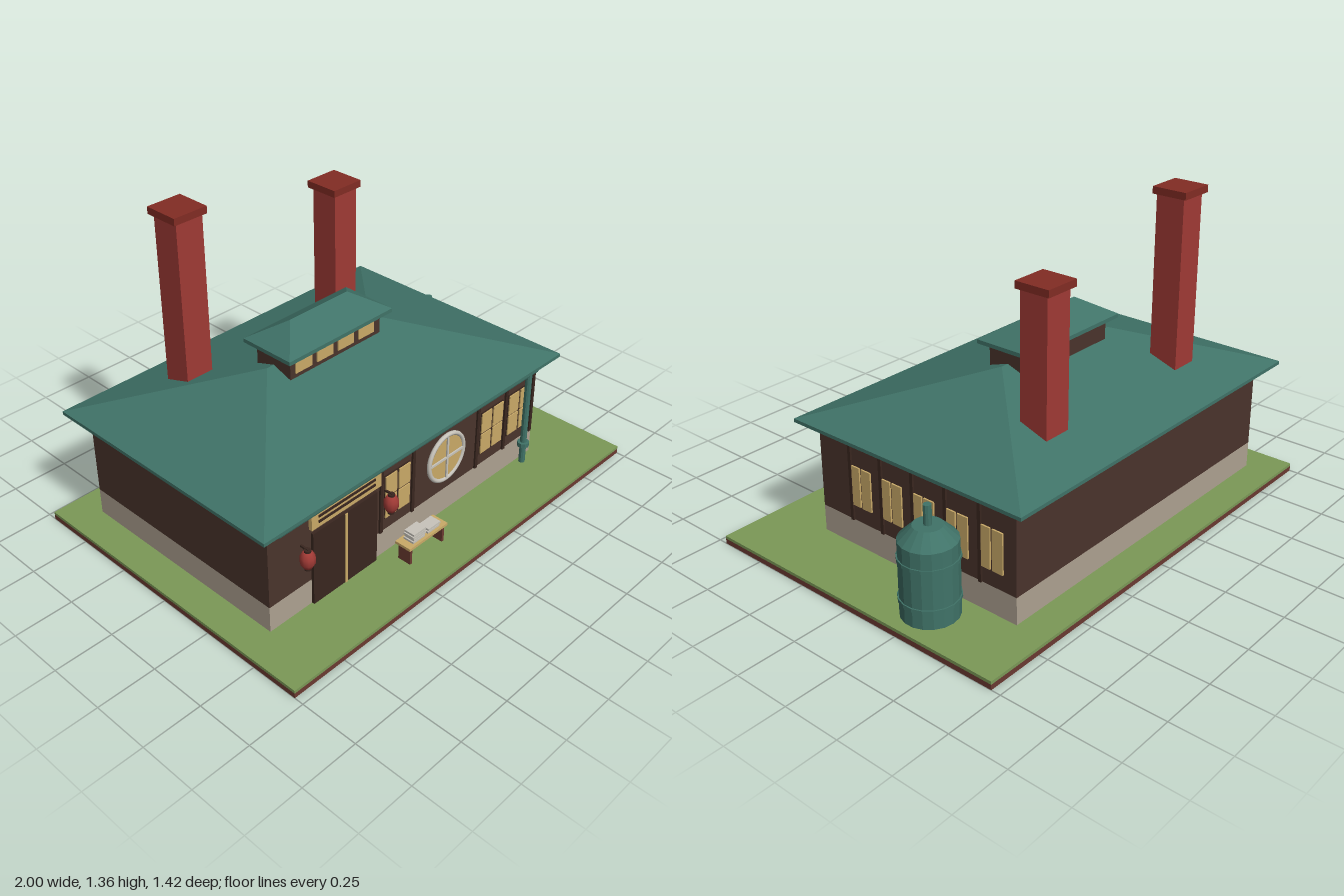
import * as THREE from 'three';

const mat = (name, color, extra = {}) => {
  const m = new THREE.MeshStandardMaterial({ color });
  m.name = name;
  return Object.assign(m, extra);
};

export function createModel() {
  const M = {
    wood: mat('wall wood', 0x4a342c),
    dark: mat('dark timber', 0x39261f),
    stone: mat('foundation stone', 0xaea291),
    green: mat('patina green', 0x407368, { flatShading: true }),
    brick: mat('red brick', 0xa03a35),
    cap: mat('cap brick', 0x822c24),
    grass: mat('grass', 0x7b9957),
    earth: mat('earth brown', 0x6b3a31),
    amber: mat('amber', 0xcaaa68),
    pale: mat('pale grey', 0xc8c4bb),
  };
  const model = new THREE.Group();
  model.name = 'boilerHouse';

  const add = (name, geo, m, parent = model) => {
    const mesh = new THREE.Mesh(geo, m);
    mesh.name = name;
    parent.add(mesh);
    return mesh;
  };
  const group = (name) => {
    const g = new THREE.Group();
    g.name = name;
    model.add(g);
    return g;
  };
  // Box given by its minimum and maximum on each axis
  const box = (name, m, x0, x1, y0, y1, z0, z1, parent) => {
    const b = add(name, new THREE.BoxGeometry(x1 - x0, y1 - y0, z1 - z0), m, parent);
    b.position.set((x0 + x1) / 2, (y0 + y1) / 2, (z0 + z1) / 2);
    return b;
  };
  const cyl = (name, m, r0, r1, y0, y1, x, z, sides, parent) => {
    const c = add(name, new THREE.CylinderGeometry(r1, r0, y1 - y0, sides), m, parent);
    c.position.set(x, (y0 + y1) / 2, z);
    return c;
  };
  // Hip roof: a thin eave slab whose upper box narrows to a ridge line
  const hipRoof = (name, x0, x1, z0, z1, y0, y1, y2, r0, r1) => {
    const g = group(name);
    box('eaveSlab', M.green, x0, x1, y0, y1, z0, z1, g);
    const zm = (z0 + z1) / 2;
    const geo = new THREE.BufferGeometry();
    const P = [[x0, y1, z0], [x1, y1, z0], [x1, y1, z1], [x0, y1, z1], [r0, y2, zm], [r1, y2, zm]];
    const F = [3, 2, 5, 3, 5, 4, 1, 0, 4, 1, 4, 5, 2, 1, 5, 0, 3, 4];
    geo.setAttribute('position', new THREE.Float32BufferAttribute(F.flatMap((i) => P[i]), 3));
    geo.computeVertexNormals();
    add('hipSlopes', geo, M.green, g);
  };

  // Ground
  box('groundSlab', M.earth, -1, 1, 0, 0.022, -0.71, 0.71);
  box('lawn', M.grass, -1, 1, 0.022, 0.035, -0.71, 0.71);

  // House body and roofs
  box('foundation', M.stone, -0.86, 0.705, 0.035, 0.15, -0.57, 0.44);
  box('walls', M.wood, -0.86, 0.705, 0.15, 0.525, -0.57, 0.44);
  hipRoof('mainRoof', -0.935, 0.77, -0.645, 0.51, 0.52, 0.535, 0.73, -0.37, 0.205);
  box('clerestoryWalls', M.wood, -0.335, 0.17, 0.6, 0.795, -0.16, 0.025);
  hipRoof('clerestoryRoof', -0.37, 0.205, -0.198, 0.06, 0.793, 0.81, 0.89, -0.24, 0.075);
  for (let i = 0; i < 4; i++) {
    const x = -0.31 + i * 0.117;
    box('clerestoryWindow', M.amber, x, x + 0.088, 0.72, 0.778, 0.025, 0.031);
  }

  // Chimneys; the tall one has a second band
  const chimney = (name, x, top, bands) => {
    const g = group(name);
    box('stack', M.brick, x - 0.063, x + 0.063, 0.53, top - 0.03, -0.443, -0.317, g);
    bands.forEach((y) => box('band', M.cap, x - 0.078, x + 0.078, y - 0.03, y, -0.46, -0.306, g));
  };
  chimney('tallChimney', -0.5, 1.355, [1.355]);
  chimney('shortChimney', 0.327, 1.195, [1.195]);

  // Side wall windows with posts
  for (let i = 0; i < 5; i++) {
    const z = 0.213 - i * 0.167;
    box('sidePost', M.dark, 0.705, 0.714, 0.15, 0.52, z + 0.047, z + 0.062);
    for (const s of [-1, 1]) {
      const c = z + s * 0.03;
      box('sideWindow', M.amber, 0.705, 0.712, 0.22, 0.392, c - 0.025, c + 0.025);
    }
  }

  // Front windows, each with four panes
  for (const x of [-0.177, 0.409, 0.593]) {
    box('windowBacking', M.dark, x - 0.072, x + 0.072, 0.205, 0.412, 0.44, 0.443);
    for (const s of [-1, 1]) for (const t of [-1, 1]) {
      const cx = x + s * 0.038, cy = 0.308 + t * 0.051;
      box('windowPane', M.amber, cx - 0.032, cx + 0.032, cy - 0.047, cy + 0.047, 0.443, 0.448);
    }
  }
  for (const x of [-0.27, -0.085, 0.315, 0.501, 0.688]) {
    box('frontPost', M.dark, x - 0.008, x + 0.008, 0.15, 0.52, 0.44, 0.448);
  }

  // Round window
  const round = group('roundWindow');
  round.position.set(0.115, 0.313, 0.44);
  const disc = add('roundGlass', new THREE.CylinderGeometry(0.105, 0.105, 0.008, 32), M.amber, round);
  disc.rotation.x = Math.PI / 2;
  disc.position.z = 0.004;
  add('roundFrame', new THREE.TorusGeometry(0.106, 0.01, 8, 32), M.pale, round).position.z = 0.006;
  box('crossbar', M.pale, -0.1, 0.1, -0.005, 0.005, 0.006, 0.014, round);
  box('mullion', M.pale, -0.005, 0.005, -0.1, 0.1, 0.006, 0.014, round);

  // Double door and plain board above it
  box('doors', M.dark, -0.645, -0.3, 0.035, 0.37, 0.44, 0.452);
  box('doorStrip', M.amber, -0.479, -0.467, 0.037, 0.368, 0.452, 0.457);
  box('boardAboveDoor', M.amber, -0.655, -0.285, 0.393, 0.465, 0.44, 0.456);
  for (const y of [0.419, 0.443]) {
    box('boardSlat', M.dark, -0.62, -0.32, y - 0.005, y + 0.005, 0.456, 0.46);
  }

  // Lanterns
  const lanternProfile = [[0, -0.036], [0.018, -0.036], [0.03, -0.014], [0.03, 0.014], [0.018, 0.036], [0, 0.036]]
    .map(([r, y]) => new THREE.Vector2(r, y));
  for (const x of [-0.697, -0.247]) {
    const g = group('lantern');
    add('lanternBody', new THREE.LatheGeometry(lanternProfile, 10), M.brick, g).position.set(x, 0.3, 0.475);
    cyl('lanternTop', M.dark, 0.014, 0.014, 0.335, 0.345, x, 0.475, 10, g);
    cyl('lanternBottom', M.dark, 0.014, 0.014, 0.253, 0.265, x, 0.475, 10, g);
    box('lanternBracket', M.dark, x - 0.004, x + 0.004, 0.34, 0.348, 0.44, 0.48, g);
  }

  // Bench with paper stacks
  const bench = group('bench');
  box('benchSeat', M.amber, -0.242, -0.016, 0.11, 0.122, 0.496, 0.572, bench);
  for (const x of [-0.225, -0.033]) box('benchLeg', M.earth, x - 0.006, x + 0.006, 0.035, 0.11, 0.504, 0.565, bench);
  [[-0.172, 4], [-0.085, 2]].forEach(([x, n]) => {
    for (let i = 0; i < n; i++) {
      const y = 0.122 + i * 0.011, d = (i % 2) * 0.004;
      box('paperStack', M.pale, x - 0.037 + d, x + 0.034 + d, y, y + 0.009, 0.51, 0.56, bench);
    }
  });

  // Gutter and downpipe
  const gutter = cyl('gutter', M.green, 0.012, 0.012, 0, 1.5, 0, 0, 10);
  gutter.rotation.z = Math.PI / 2;
  gutter.position.set(-0.083, 0.485, 0.467);
  for (let i = 0; i < 6; i++) {
    const x = -0.78 + i * 0.27;
    box('gutterBracket', M.dark, x - 0.006, x + 0.006, 0.47, 0.5, 0.44, 0.468);
  }
  cyl('downpipe', M.green, 0.014, 0.014, 0.035, 0.485, 0.618, 0.467, 10);
  cyl('downpipeCollar', M.green, 0.026, 0.026, 0.12, 0.14, 0.618, 0.467, 10);

  // Water tank with bands, vent and feed pipe
  const tank = group('tank');
  const tx = 0.842, tz = -0.277;
  cyl('tankBody', M.green, 0.114, 0.114, 0.035, 0.347, tx, tz, 18, tank);
  cyl('tankShoulder', M.green, 0.114, 0.058, 0.347, 0.402, tx, tz, 18, tank);
  cyl('tankVent', M.green, 0.016, 0.016, 0.4, 0.483, tx, tz, 10, tank);
  for (const y of [0.11, 0.275]) cyl('tankBand', M.green, 0.119, 0.119, y - 0.007, y + 0.007, tx, tz, 18, tank);
  const feed = cyl('feedPipe', M.green, 0.014, 0.014, 0, 0.06, 0, 0, 10, tank);
  feed.rotation.z = Math.PI / 2;
  feed.position.set(0.725, 0.277, tz);

  // Second band on the tall chimney, level with the short chimney's top
  return model;
}
